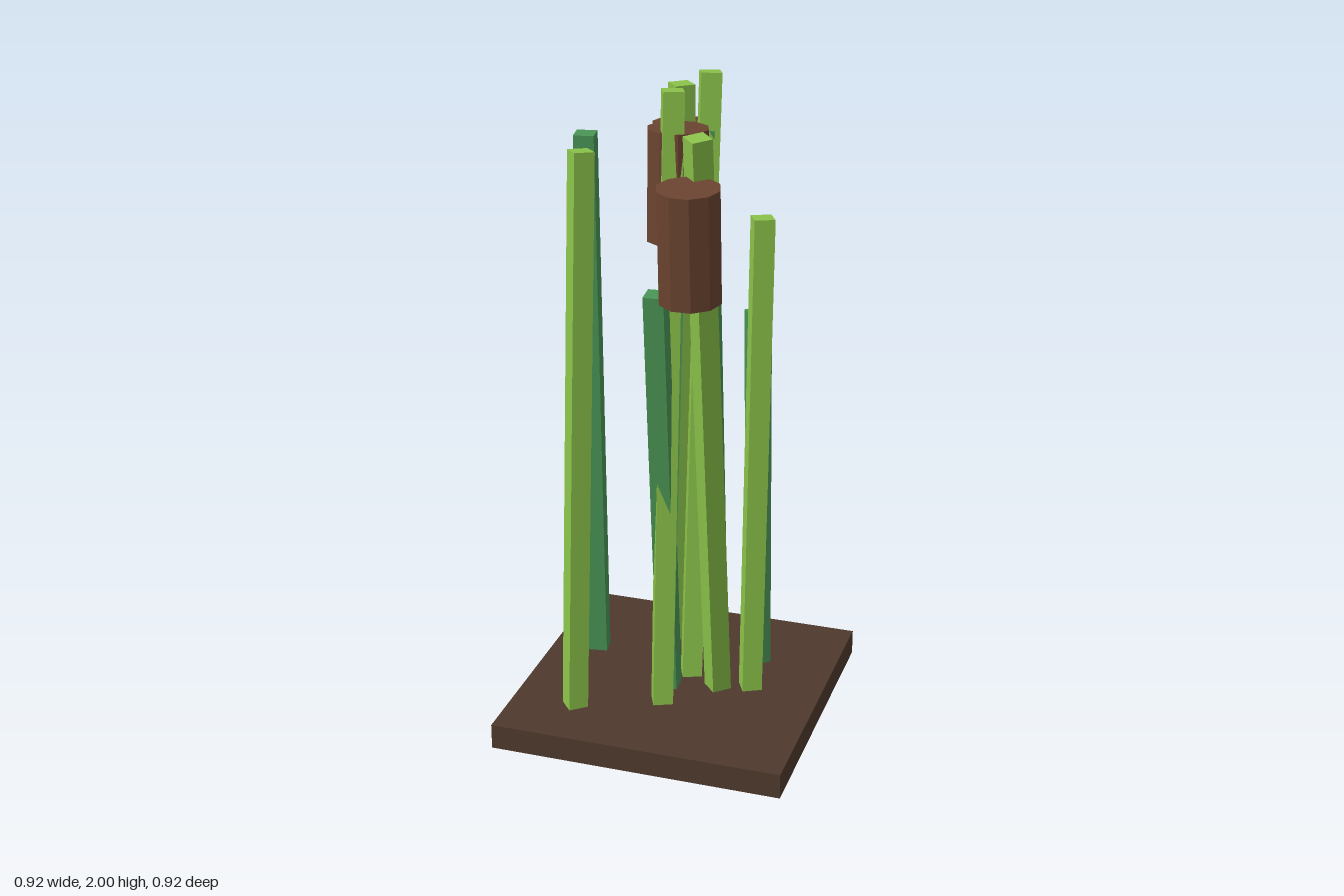
import * as THREE from 'three';

const mat = (name, color) => {
  const m = new THREE.MeshStandardMaterial({ color });
  m.name = name;
  return m;
};

export function createModel() {
  const group = new THREE.Group();
  group.name = 'reeds';
  const soil = mat('soil brown', 0x4e392d);
  const lightGreen = mat('light green', 0x8bc34a);
  const darkGreen = mat('dark green', 0x4a9455);
  const headBrown = mat('seed head brown', 0x6b4430);

  const add = (name, geometry, material) => {
    const mesh = new THREE.Mesh(geometry, material);
    mesh.name = name;
    group.add(mesh);
    return mesh;
  };

  // Square ground slab
  add('ground', new THREE.BoxGeometry(0.917, 0.08, 0.917), soil).position.y = 0.04;

  // Square stalk leaning along z, from (x, 0, z0) to (x, top, z1), turned about its own axis
  const stalk = (name, material, x, z0, z1, top, turn) => {
    const mesh = add(name, new THREE.BoxGeometry(0.062, Math.hypot(top, z1 - z0), 0.062), material);
    mesh.position.set(x, top / 2, (z0 + z1) / 2);
    mesh.rotation.set(Math.atan2(z1 - z0, top), THREE.MathUtils.degToRad(turn), 0);
  };

  // x, base z, top z, height, turn in degrees
  [
    [-0.257, 0.268, 0.12, 1.82, 40],
    [0.134, 0.01, 0.255, 1.925, 43],
    [-0.007, 0.16, 0.037, 1.995, 24],
    [0.028, -0.03, -0.213, 1.995, 23],
    [0.232, -0.008, -0.073, 1.61, 27],
    [-0.077, -0.262, -0.262, 1.94, 40],
  ].forEach((s) => stalk('lightStalk', lightGreen, ...s));

  [
    [-0.312, -0.113, -0.065, 1.82, 9],
    [-0.016, 0.045, 0.174, 1.43, 3],
    [0.018, -0.36, -0.197, 1.83, 6],
    [0.208, -0.187, -0.123, 1.3, 40],
    [-0.016, 0.13, -0.01, 1.7, 20],
  ].forEach((s) => stalk('darkStalk', darkGreen, ...s));

  // Ten-sided seed heads: x, y, z, lean
  const headGeometry = new THREE.CylinderGeometry(0.092, 0.092, 0.332, 10, 1, false, Math.PI / 2).toNonIndexed();
  headGeometry.computeVertexNormals();
  [
    [-0.077, 1.653, -0.262, 0],
    [-0.009, 1.707, -0.01, -0.035],
    [0.132, 1.64, 0.323, 0.065],
  ].forEach(([x, y, z, lean]) => {
    const head = add('seedHead', headGeometry, headBrown);
    head.position.set(x, y, z);
    head.rotation.x = lean;
  });

  return group;
}
